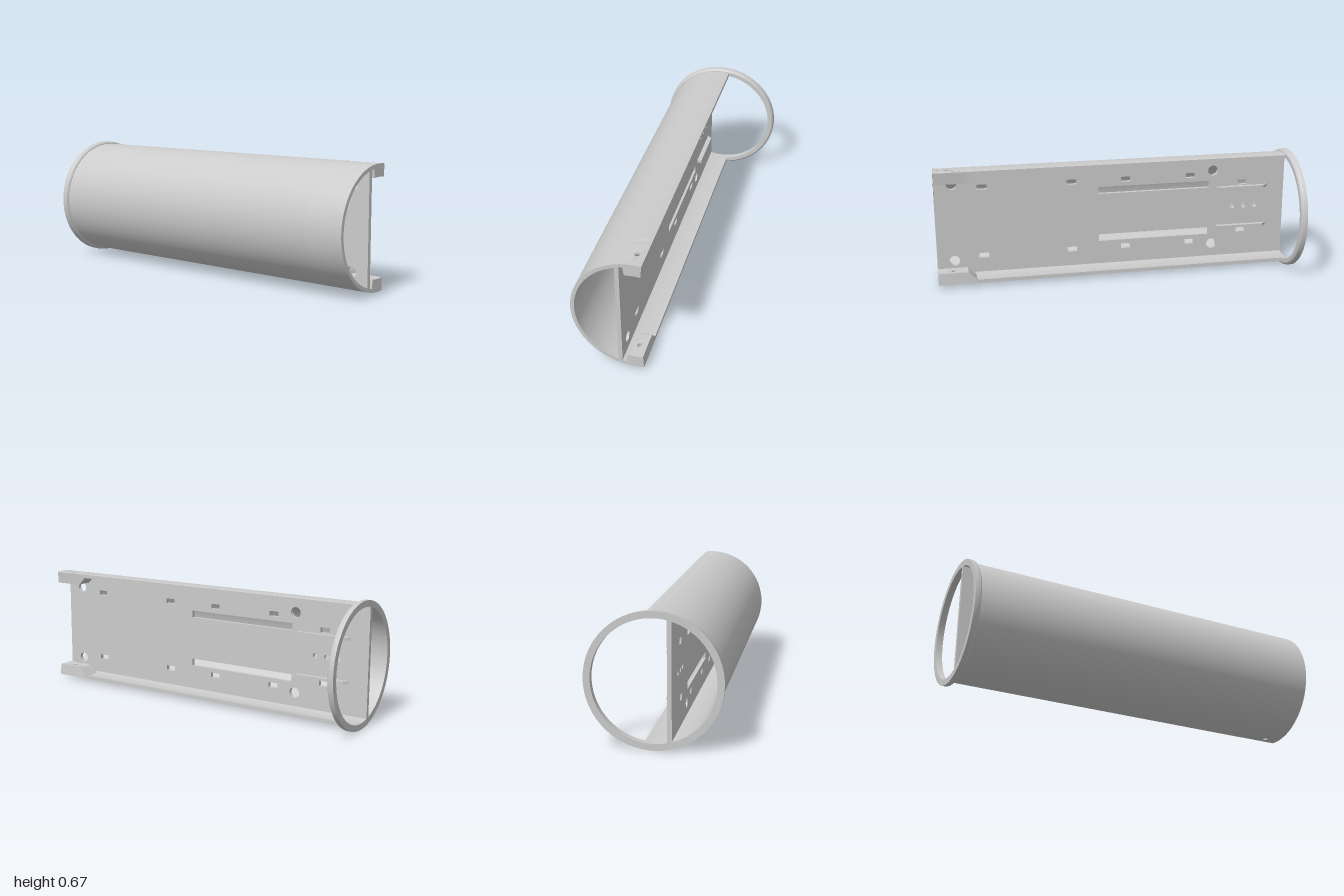
import * as THREE from 'three';
import { toCreasedNormals } from 'three/addons/utils/BufferGeometryUtils.js';

const CY = 0.336;                 // height of the tube axis
const R_OUT = 0.322, R_IN = 0.302; // tube wall radii
const CUT_X = 0.045;              // tube is cut away beyond this x
const BLOCK_A = 0.156;            // half angle of the end blocks
const BLOCK_R = 0.256;            // inner radius of the end blocks
const BLOCK_Z = 0.79, RAMP_Z = 0.835;

const material = new THREE.MeshStandardMaterial({ color: 0xcccccc });

function addMesh(parent, name, geometry) {
  const mesh = new THREE.Mesh(toCreasedNormals(geometry, 0.5), material);
  mesh.name = name;
  parent.add(mesh);
}

function extrude(shape, depth, curveSegments = 16) {
  return new THREE.ExtrudeGeometry(shape, { depth, bevelEnabled: false, curveSegments });
}

// Arc-shaped wall; the angles run from +y, and positive ones lean to +x
function wall(endOuter, endInner, z0, z1) {
  const pts = [], n = 80;
  const arc = (r, from, to) => {
    for (let i = 0; i <= n; i++) {
      const a = from + (to - from) * i / n;
      pts.push(new THREE.Vector2(r * Math.sin(a), r * Math.cos(a)));
    }
  };
  arc(R_OUT, endOuter, -Math.PI - endOuter);
  arc(R_IN, -Math.PI - endInner, endInner);
  return extrude(new THREE.Shape(pts), z1 - z0).translate(0, 0, z0);
}

// Block bent around the axis: side 1 is the top, -1 the bottom
function block(side, z0, z1, hole) {
  const pts = [], n = 10, w = BLOCK_A * R_IN;
  for (let i = 0; i <= n; i++) pts.push(new THREE.Vector2(-w + 2 * w * i / n, -side * z0));
  for (let i = n; i >= 0; i--) pts.push(new THREE.Vector2(-w + 2 * w * i / n, -side * z1));
  const shape = new THREE.Shape(pts);
  if (hole) shape.holes.push(new THREE.Path().absarc(0, -side * 0.915, 0.013, 0, Math.PI * 2, true));
  const geo = extrude(shape, 1, 12);
  const pos = geo.attributes.position;
  for (let i = 0; i < pos.count; i++) {
    const a = pos.getX(i) / R_IN, z = -side * pos.getY(i);
    const ramp = Math.max(0, (RAMP_Z - z) / (RAMP_Z - BLOCK_Z));
    const inner = THREE.MathUtils.lerp(BLOCK_R, R_IN, ramp);
    const r = THREE.MathUtils.lerp(inner, R_OUT, pos.getZ(i));
    pos.setXYZ(i, Math.min(r * Math.sin(a), CUT_X), side * r * Math.cos(a), z);
  }
  return geo;
}

// Lengthwise plate with its slots and holes, mirrored above and below the axis
function plate() {
  const h = 0.297;
  const shape = new THREE.Shape();
  shape.moveTo(-1, -h).lineTo(1, -h).lineTo(1, h).lineTo(-1, h).closePath();
  const rect = (z, y, len, height) => {
    const a = len / 2, b = height / 2, p = new THREE.Path();
    p.moveTo(-z - a, y - b).lineTo(-z - a, y + b).lineTo(-z + a, y + b).lineTo(-z + a, y - b).closePath();
    shape.holes.push(p);
  };
  const round = (z, y, r) =>
    shape.holes.push(new THREE.Path().absarc(-z, y, r, 0, Math.PI * 2, true));

  for (const s of [-1, 1]) {
    for (const z of [0.904, -0.574]) round(z, s * 0.22, 0.029);
    for (const z of [0.74, 0.242, -0.066, -0.442]) rect(z, s * 0.198, 0.056, 0.028);
    rect(-0.232, s * 0.14, 0.645, 0.04);
    rect(-0.75, s * 0.143, 0.056, 0.03);
  }
  for (const z of [-0.695, -0.762, -0.829]) round(z, 0, 0.0145);
  return extrude(shape, 0.022).rotateY(Math.PI / 2).translate(-0.088, 0, 0);
}

// Thin guide rail with a sloped rear end
function rail(y) {
  const outline = [[-0.07, 0.596], [-0.04, 0.596], [-0.04, 0.872], [-0.066, 0.898], [-0.07, 0.898]];
  const shape = new THREE.Shape(outline.map(([x, z]) => new THREE.Vector2(x, z)));
  return extrude(shape, 0.015).rotateX(-Math.PI / 2).translate(0, y - 0.0075, 0);
}

export function createModel() {
  const model = new THREE.Group();
  model.name = 'slottedTubeHousing';
  const body = new THREE.Group();
  body.name = 'body';
  body.position.y = CY;
  model.add(body);

  // Tube wall, with its front stretch ending at the blocks
  addMesh(body, 'tubeWall', wall(Math.asin(CUT_X / R_OUT), Math.asin(CUT_X / R_IN), -0.97, BLOCK_Z));
  addMesh(body, 'tubeWallFront', wall(-BLOCK_A, -BLOCK_A, BLOCK_Z, 1));

  // End ring with a chamfered front edge
  const profile = [[R_IN, -0.965], [R_IN, -1], [0.336, -1], [0.336, -0.979], [0.333, -0.971],
    [0.325, -0.965], [R_IN, -0.965]].map(([r, z]) => new THREE.Vector2(r, z));
  addMesh(body, 'endRing', new THREE.LatheGeometry(profile, 128).rotateX(Math.PI / 2));

  addMesh(body, 'dividerPlate', plate());

  // Drilled blocks, their ramps and the guide rails
  for (const [side, label] of [[1, 'upper'], [-1, 'lower']]) {
    addMesh(body, label + 'ScrewBlock', block(side, RAMP_Z, 1, true));
    addMesh(body, label + 'BlockRamp', block(side, BLOCK_Z, RAMP_Z, false));
    addMesh(body, label + 'GuideRail', rail(side * 0.116));
  }
  return model;
}
